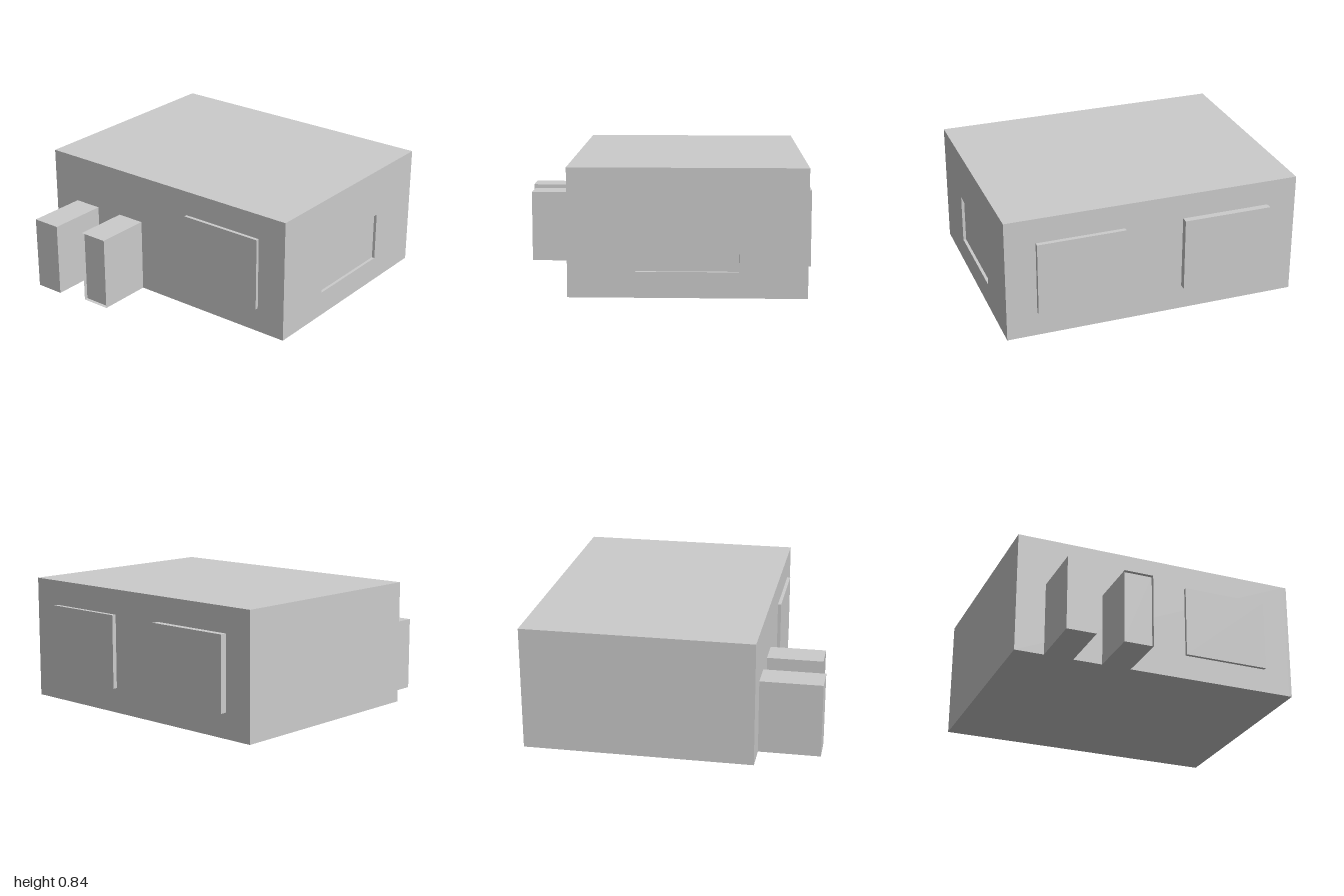
import * as THREE from 'three';

const material = new THREE.MeshStandardMaterial({ color: 0xcccccc, flatShading: true });
const thinMaterial = new THREE.MeshStandardMaterial({ color: 0xcccccc, flatShading: true, side: THREE.DoubleSide });

// Box given by its lower and upper corners
function block(name, [x0, y0, z0], [x1, y1, z1]) {
  const geometry = new THREE.BoxGeometry(x1 - x0, y1 - y0, z1 - z0);
  geometry.translate((x0 + x1) / 2, (y0 + y1) / 2, (z0 + z1) / 2);
  const mesh = new THREE.Mesh(geometry, material);
  mesh.name = name;
  return mesh;
}

function rectangle(Type, x0, y0, x1, y1) {
  return new Type([[x0, y0], [x1, y0], [x1, y1], [x0, y1]].map(([x, y]) => new THREE.Vector2(x, y)));
}

export function createModel() {
  const group = new THREE.Group();
  const right = -0.585, left = 0.955, height = 0.84;
  const recess = 0.02, rim = 0.025;

  // Main body, with a front wall holding a shallow rectangular recess
  group.add(block('body', [right, 0, -1], [left, height, 1 - recess]));
  const wall = rectangle(THREE.Shape, right, 0, left, height);
  wall.holes.push(rectangle(THREE.Path, -0.15, 0.17, 0.515, 0.505));
  const wallGeometry = new THREE.ExtrudeGeometry(wall, { depth: recess, bevelEnabled: false });
  wallGeometry.translate(0, 0, 1 - recess);
  const frontWall = new THREE.Mesh(wallGeometry, material);
  frontWall.name = 'frontWall';
  group.add(frontWall);

  // Raised side panels
  group.add(block('leftFrontPanel', [left, 0.17, 0.2], [0.985, 0.67, 0.795]));
  group.add(block('leftBackPanel', [left, 0.17, -0.8], [1, 0.67, -0.2]));
  group.add(block('rightFrontPanel', [-0.608, 0.17, 0.2], [right, 0.67, 0.795]));

  // Two blocks standing out from the right side
  group.add(block('backSideBlock', [-1, 0, -0.8], [right, 0.505, -0.6]));
  group.add(block('frontSideBlock', [-0.965 + rim, 0, -0.4], [right, 0.505, -0.2]));

  // Thin open rim around the sunken end of the front side block
  const corners = [[0, -0.4], [0, -0.2], [0.505, -0.2], [0.505, -0.4]];
  const positions = [], index = [];
  corners.forEach(([y, z], i) => {
    positions.push(-0.965, y, z, -0.965 + rim, y, z);
    const a = 2 * i, b = 2 * ((i + 1) % 4);
    index.push(a, a + 1, b, b, a + 1, b + 1);
  });
  const rimGeometry = new THREE.BufferGeometry();
  rimGeometry.setAttribute('position', new THREE.Float32BufferAttribute(positions, 3));
  rimGeometry.setIndex(index);
  rimGeometry.computeVertexNormals();
  const blockRim = new THREE.Mesh(rimGeometry, thinMaterial);
  blockRim.name = 'sideBlockRim';
  group.add(blockRim);

  return group;
}
